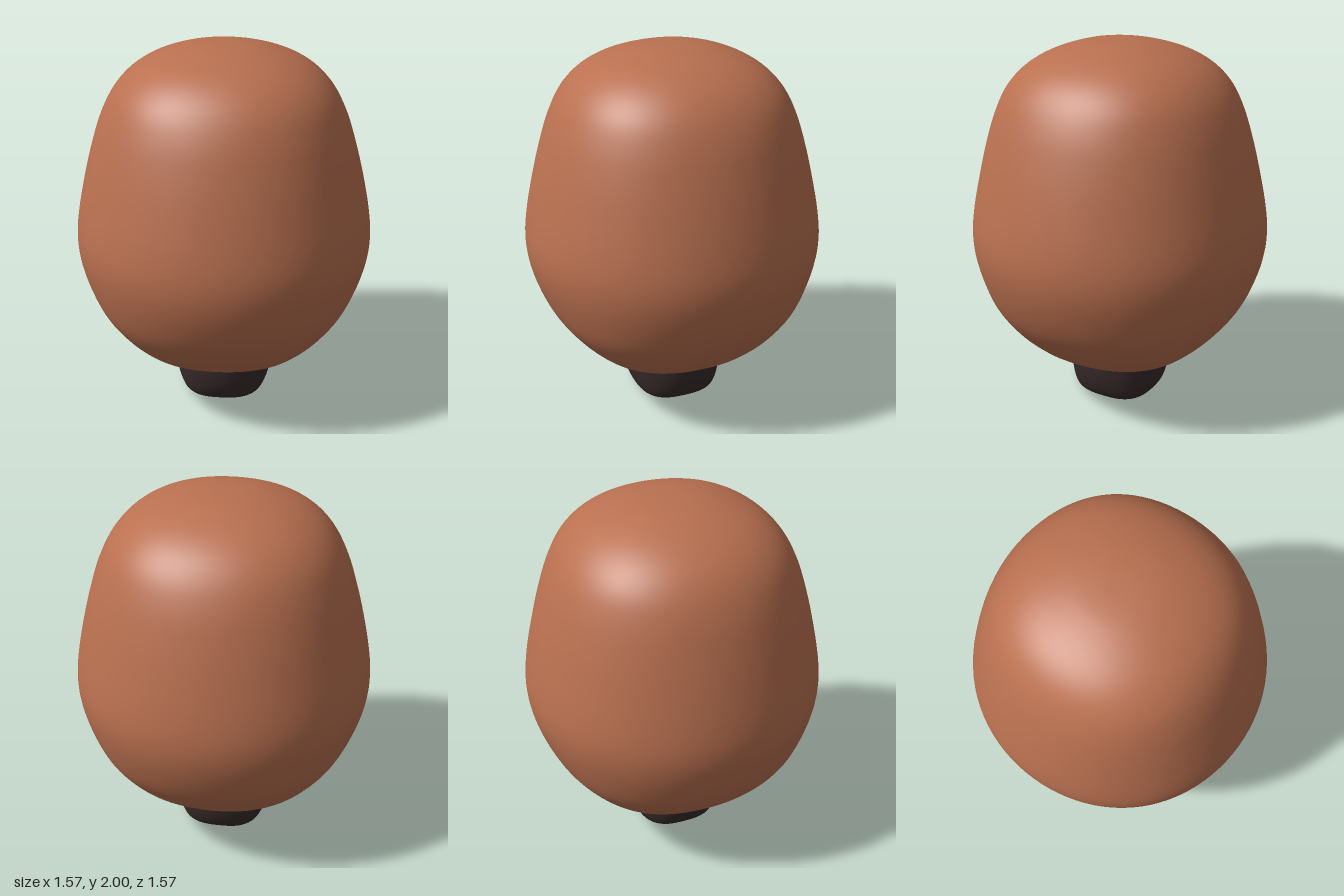
import * as THREE from 'three';
import { mergeVertices } from 'three/addons/utils/BufferGeometryUtils.js';

// Smooth turned form whose round section swells slightly on the diagonals.
// Each profile point is [radius, height, diagonal swell].
function softTurned(name, color, profile, steps) {
  const curve = new THREE.CatmullRomCurve3(
    profile.map(([r, y, k]) => new THREE.Vector3(r, y, k)), false, 'centripetal');
  const points = curve.getPoints(steps);
  const swells = points.map((p) => p.z);
  let geometry = new THREE.LatheGeometry(
    points.map((p) => new THREE.Vector2(Math.max(p.x, 0), p.y)), 96);

  const pos = geometry.attributes.position;
  for (let i = 0; i < pos.count; i++) {
    const x = pos.getX(i), z = pos.getZ(i);
    const angle = Math.atan2(z, x);
    const scale = 1 + swells[i % points.length] * (1 - Math.cos(4 * angle)) / 2;
    pos.setX(i, x * scale);
    pos.setZ(i, z * scale);
  }

  // Weld the seam and poles so the shading stays smooth
  geometry.deleteAttribute('uv');
  geometry.deleteAttribute('normal');
  geometry = mergeVertices(geometry, 1e-5);
  geometry.computeVertexNormals();

  const mesh = new THREE.Mesh(geometry,
    new THREE.MeshStandardMaterial({ color, side: THREE.DoubleSide }));
  mesh.name = name;
  return mesh;
}

export function createModel() {
  const model = new THREE.Group();
  model.name = 'roundTree';

  // Egg-shaped crown with a nearly flat underside
  model.add(softTurned('crown', 0xb97050, [
    [0.27, 0.335, 0], [0.36, 0.325, 0.03], [0.43, 0.338, 0.05], [0.51, 0.4, 0.05],
    [0.6, 0.495, 0.04], [0.68, 0.61, 0.03], [0.745, 0.76, 0.015], [0.778, 0.89, 0.01],
    [0.785, 1.0, 0.01], [0.772, 1.12, 0.01], [0.735, 1.3, 0.01], [0.688, 1.48, 0.015],
    [0.635, 1.64, 0.02], [0.57, 1.765, 0.03], [0.49, 1.855, 0.03], [0.38, 1.925, 0.03],
    [0.22, 1.98, 0.02], [0.1, 1.997, 0], [0, 2, 0],
  ], 90));

  // Short trunk with a rounded foot
  model.add(softTurned('trunk', 0x382a2a, [
    [0, 0, 0], [0.12, 0.003, 0.06], [0.18, 0.018, 0.1], [0.215, 0.045, 0.1],
    [0.24, 0.085, 0.07], [0.262, 0.15, 0.03], [0.274, 0.23, 0.01], [0.28, 0.345, 0],
  ], 40));

  return model;
}
